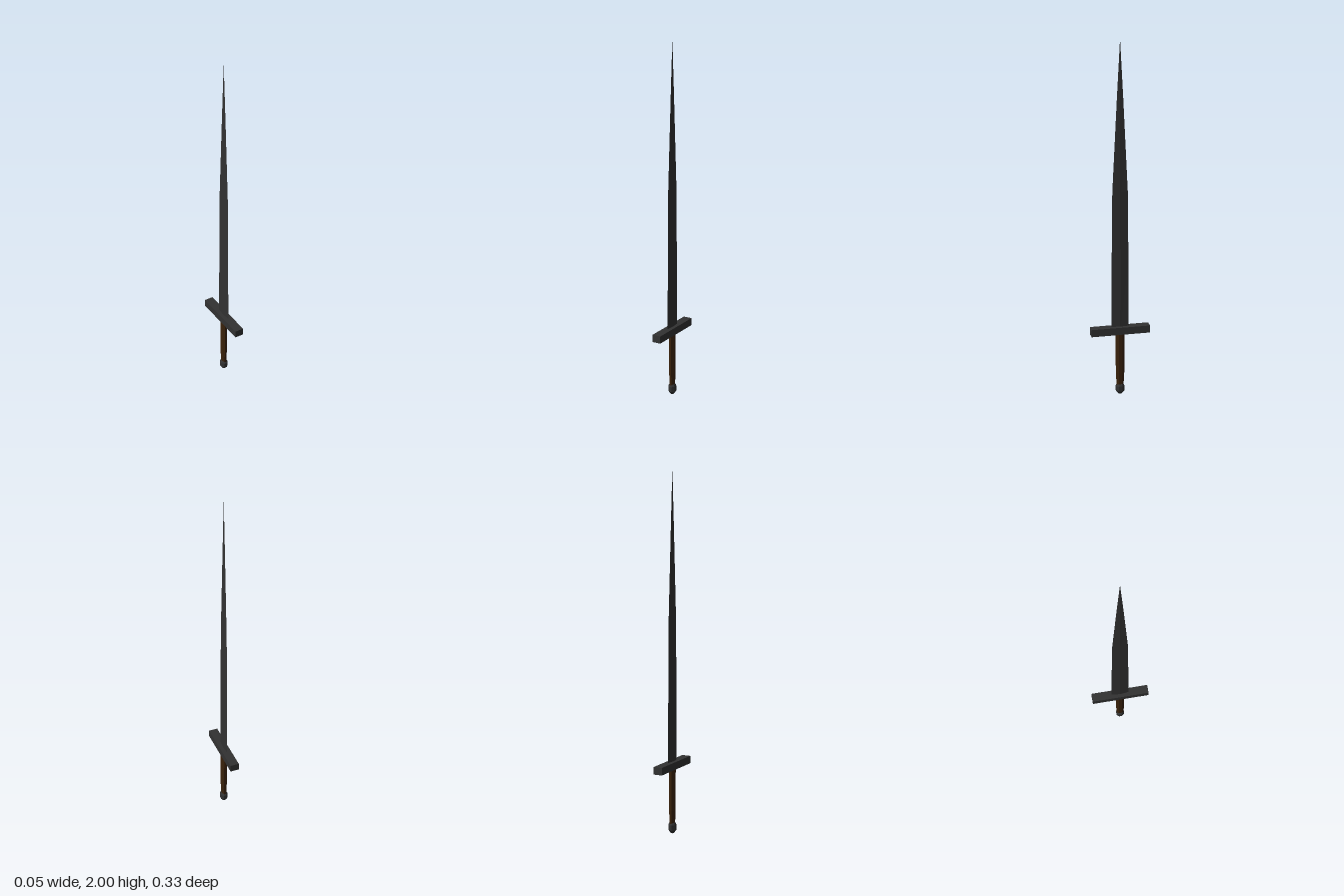
import * as THREE from 'three';

const steel = new THREE.MeshStandardMaterial({ color: 0x323232, flatShading: true });
steel.name = 'darkSteel';
const leather = new THREE.MeshStandardMaterial({ color: 0x3a220b, flatShading: true });
leather.name = 'brownLeather';

// Joins rings [y, halfX, halfZ] of a regular cross-section, closed at both ends.
function loft(name, material, sides, turn, rings) {
  const point = (r, j) => {
    const a = turn + (j / sides) * Math.PI * 2;
    return [r[1] * Math.cos(a), r[0], r[2] * Math.sin(a)];
  };
  const v = [];
  const first = rings[0], last = rings[rings.length - 1];
  for (let j = 0; j < sides; j++) {
    for (let i = 0; i < rings.length - 1; i++) {
      const a = point(rings[i], j), b = point(rings[i], j + 1);
      const c = point(rings[i + 1], j), d = point(rings[i + 1], j + 1);
      v.push(...a, ...c, ...b, ...b, ...c, ...d);
    }
    v.push(0, first[0], 0, ...point(first, j), ...point(first, j + 1));
    v.push(0, last[0], 0, ...point(last, j + 1), ...point(last, j));
  }
  const geometry = new THREE.BufferGeometry();
  geometry.setAttribute('position', new THREE.Float32BufferAttribute(v, 3));
  geometry.computeVertexNormals();
  const mesh = new THREE.Mesh(geometry, material);
  mesh.name = name;
  return mesh;
}

export function createModel() {
  const sword = new THREE.Group();
  sword.name = 'sword';

  // Thin diamond-section blade, tapering to a long point
  sword.add(loft('blade', steel, 4, 0, [
    [0.39, 0.005, 0.05],
    [0.80, 0.005, 0.047],
    [1.18, 0.0045, 0.043],
    [1.36, 0.004, 0.034],
    [1.70, 0.0025, 0.017],
    [2.00, 0.0003, 0.0005],
  ]));

  // Straight crossguard
  const guard = new THREE.Mesh(new THREE.BoxGeometry(0.05, 0.042, 0.334), steel);
  guard.name = 'crossguard';
  guard.position.y = 0.385;
  sword.add(guard);

  // Faceted oval grip, slimmer at the lower end
  sword.add(loft('grip', leather, 8, Math.PI / 8, [
    [0.05, 0.014, 0.021],
    [0.08, 0.015, 0.022],
    [0.13, 0.017, 0.025],
    [0.37, 0.017, 0.027],
  ]));

  // Bevelled pommel
  sword.add(loft('pommel', steel, 8, Math.PI / 8, [
    [0.00, 0.009, 0.010],
    [0.018, 0.022, 0.025],
    [0.048, 0.022, 0.026],
    [0.06, 0.016, 0.019],
  ]));

  return sword;
}
